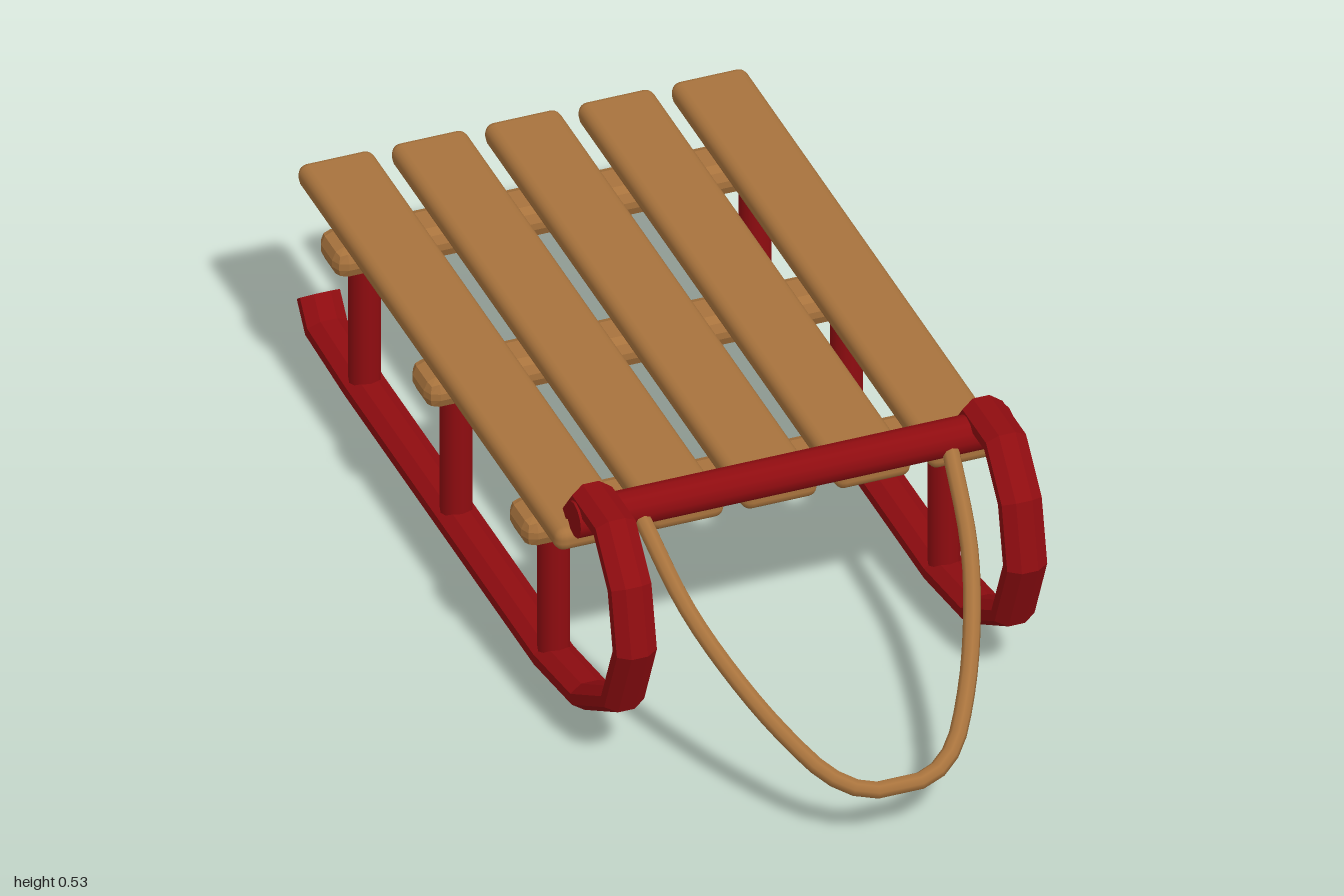
import * as THREE from 'three';
import { RoundedBoxGeometry } from 'three/addons/geometries/RoundedBoxGeometry.js';

const wood = new THREE.MeshStandardMaterial({ color: 0xa8733d });
wood.name = 'wood';
const red = new THREE.MeshStandardMaterial({ color: 0x8f0c10 });
red.name = 'red paint';

// Faceted normals without touching the material
function faceted(geometry) {
  const g = geometry.index ? geometry.toNonIndexed() : geometry;
  g.computeVertexNormals();
  return g;
}

// Sweep an eight-sided oval along a [z, y] path with mitred corners and flat caps
function sweepOval(path, halfWidth, halfThickness) {
  const sides = 8, positions = [], index = [];
  const pts = path.map(([z, y]) => new THREE.Vector2(z, y));
  pts.forEach((p, i) => {
    const before = p.clone().sub(pts[Math.max(i - 1, 0)]).normalize();
    const after = pts[Math.min(i + 1, pts.length - 1)].clone().sub(p).normalize();
    const t = before.clone().add(after).normalize();
    const mitre = 1 / Math.max(t.dot(i ? before : after), 0.6);
    for (let j = 0; j < sides; j++) {
      const a = ((j + 0.5) / sides) * Math.PI * 2;
      const x = (halfWidth / Math.cos(Math.PI / 8)) * Math.cos(a);
      const n = (halfThickness / Math.cos(Math.PI / 8)) * Math.sin(a) * mitre;
      positions.push(x, p.y + t.x * n, p.x - t.y * n);
    }
  });
  for (let i = 0; i < pts.length - 1; i++) {
    for (let j = 0; j < sides; j++) {
      const k = (j + 1) % sides, a = i * sides, b = a + sides;
      index.push(a + j, a + k, b + k, a + j, b + k, b + j);
    }
  }
  const end = (pts.length - 1) * sides;
  for (let j = 1; j < sides - 1; j++) index.push(0, j + 1, j, end, end + j, end + j + 1);
  const g = new THREE.BufferGeometry();
  g.setAttribute('position', new THREE.Float32BufferAttribute(positions, 3));
  g.setIndex(index);
  return faceted(g);
}

export function createModel() {
  const sled = new THREE.Group();
  sled.name = 'sled';
  const add = (name, geometry, material, x = 0, y = 0, z = 0) => {
    const mesh = new THREE.Mesh(geometry, material);
    mesh.name = name;
    mesh.position.set(x, y, z);
    sled.add(mesh);
    return mesh;
  };

  // Runners, tail to curled front
  const runner = sweepOval([
    [-0.975, 0.09], [-0.935, 0.04], [-0.74, 0.03], [0.22, 0.03], [0.41, 0.06],
    [0.57, 0.155], [0.632, 0.30], [0.605, 0.425], [0.53, 0.51], [0.42, 0.51], [0.375, 0.455],
  ], 0.04, 0.025);
  const post = new THREE.CylinderGeometry(0.031, 0.031, 0.3, 12);
  const beam = faceted(new RoundedBoxGeometry(0.932, 0.064, 0.106, 1, 0.025));
  const stations = [0.22, -0.275, -0.74];

  for (const side of [1, -1]) {
    add(side > 0 ? 'leftRunner' : 'rightRunner', runner, red, side * 0.39);
    for (const z of stations) add('post', post, red, side * 0.39, 0.18, z);
  }

  // Cross beams under the seat
  for (const z of stations) add('crossBeam', beam, wood, 0, 0.342, z);

  // Seat slats
  const slat = new RoundedBoxGeometry(0.152, 0.048, 1.33, 2, 0.02);
  for (let i = -2; i <= 2; i++) add('seatSlat', slat, wood, i * 0.1865, 0.397, -0.277);

  // Bar joining the runner fronts
  const bar = add('frontBar', new THREE.CylinderGeometry(0.036, 0.036, 0.87, 12), red, 0, 0.481, 0.437);
  bar.rotation.z = Math.PI / 2;

  // Pull rope, hanging forward in a sloping plane
  const half = [[0.31, 0.475], [0.282, 0.36], [0.235, 0.272], [0.18, 0.2], [0.12, 0.145], [0.06, 0.122]];
  const ropePoint = (x, y) => new THREE.Vector3(x, y, 0.45 + (0.475 - y) * 1.5);
  const points = [
    ...half.map(([x, y]) => ropePoint(-x, y)),
    ropePoint(0, 0.12),
    ...half.slice().reverse().map(([x, y]) => ropePoint(x, y)),
  ];
  add('pullRope', new THREE.TubeGeometry(new THREE.CatmullRomCurve3(points), 36, 0.017, 8), wood);

  // Closed rope ends
  for (const side of [1, -1]) {
    add('ropeEnd', new THREE.SphereGeometry(0.017, 8, 6), wood, side * 0.31, 0.475, 0.45);
  }
  return sled;
}
